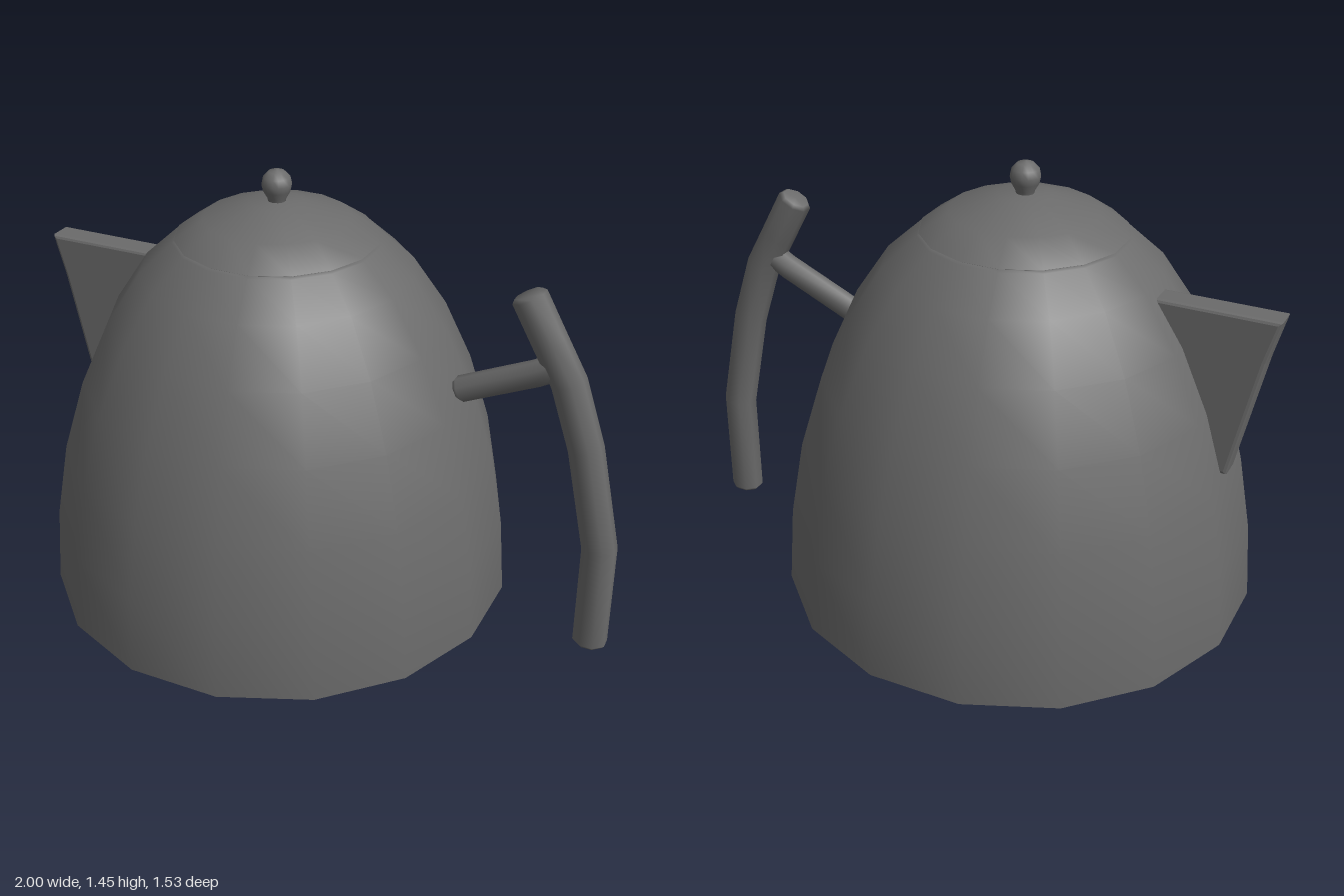
import * as THREE from 'three';

const BODY_X = -0.17;
const SIDES = 16;

// Faceted outline, smooth normals; flats face the four main axes
function turned(name, profile, material) {
  const pts = profile.map(([r, y]) => new THREE.Vector2(r, y));
  const mesh = new THREE.Mesh(new THREE.LatheGeometry(pts, SIDES, Math.PI / SIDES), material);
  mesh.name = name;
  mesh.position.x = BODY_X;
  return mesh;
}

// Eight-sided rod swept along points in the xy plane, mitred joints, chamfered ends
function rod(name, path, rx, rz, material) {
  const p = path.map(([x, y]) => new THREE.Vector2(x, y));
  const n = p.length, k = 8, bevel = 0.012;
  const dir = (i, j) => p[j].clone().sub(p[i]).normalize();
  const rings = [];
  p.forEach((pt, i) => {
    const a = dir(Math.max(i - 1, 0), Math.max(i, 1));
    const b = dir(Math.min(i, n - 2), Math.min(i + 1, n - 1));
    const t = a.clone().add(b).normalize();
    const scale = 1 / t.dot(a);
    const add = (shift, s) => rings.push({ c: pt.clone().addScaledVector(t, shift), t, s });
    if (i === 0) { add(0, 0); add(0, 0.8); add(bevel, 1); }
    else if (i === n - 1) { add(-bevel, 1); add(0, 0.8); add(0, 0); }
    else add(0, scale);
  });
  const pos = [], index = [];
  rings.forEach(({ c, t, s }, r) => {
    for (let j = 0; j < k; j++) {
      const a = ((j + 0.5) / k) * Math.PI * 2;
      const u = Math.cos(a) * rx * s, w = Math.sin(a) * rz * Math.min(s, 1);
      pos.push(c.x - t.y * u, c.y + t.x * u, w);
      if (r === 0) continue;
      const j2 = (j + 1) % k;
      const A = (r - 1) * k + j, B = (r - 1) * k + j2, C = r * k + j2, D = r * k + j;
      index.push(A, D, B, B, D, C);
    }
  });
  // Reverse the winding so that faces point outwards
  for (let i = 0; i < index.length; i += 3) [index[i + 1], index[i + 2]] = [index[i + 2], index[i + 1]];
  const g = new THREE.BufferGeometry();
  g.setAttribute('position', new THREE.Float32BufferAttribute(pos, 3));
  g.setIndex(index);
  g.computeVertexNormals();
  const mesh = new THREE.Mesh(g, material);
  mesh.name = name;
  return mesh;
}

export function createModel() {
  const group = new THREE.Group();
  group.name = 'kettle';
  const grey = new THREE.MeshStandardMaterial({ color: 0x6b6b6b });
  grey.name = 'dark grey';

  // Domed body with a closed base and a small groove under the lid
  group.add(turned('body', [
    [0, 0], [0.762, 0], [0.778, 0.01], [0.759, 0.27], [0.715, 0.52], [0.643, 0.755],
    [0.55, 0.96], [0.44, 1.125], [0.332, 1.223], [0.315, 1.227],
  ], grey));

  // Lid
  group.add(turned('lid', [
    [0.315, 1.225], [0.326, 1.231], [0.235, 1.293], [0.085, 1.343], [0, 1.348],
  ], grey));

  // Knob with a tapered neck
  group.add(turned('knob', [
    [0.026, 1.335], [0.03, 1.355], [0.043, 1.378], [0.048, 1.4], [0.043, 1.423],
    [0.026, 1.441], [0, 1.448],
  ], grey));

  // Flat triangular spout
  const shape = new THREE.Shape([
    [-1, 1.1], [-0.962, 0.96], [-0.875, 0.56], [-0.83, 0.56], [-0.6, 1.1],
  ].map(([x, y]) => new THREE.Vector2(x, y)));
  const bevel = 0.012;
  const spoutGeo = new THREE.ExtrudeGeometry(shape, {
    depth: 0.09 - 2 * bevel, bevelEnabled: true, bevelSegments: 2,
    bevelSize: bevel, bevelThickness: bevel, bevelOffset: -bevel,
  });
  spoutGeo.translate(0, 0, -(0.045 - bevel));
  const spout = new THREE.Mesh(spoutGeo, grey);
  spout.name = 'spout';
  group.add(spout);

  // Curved handle and the arm that joins it to the body
  const handle = new THREE.Group();
  handle.name = 'handle';
  handle.add(rod('grip', [
    [0.945, 0], [0.945, 0.37], [0.872, 0.715], [0.802, 0.925], [0.735, 1.045], [0.655, 1.19],
  ], 0.057, 0.05, grey));
  handle.add(rod('arm', [[0.45, 0.822], [0.7, 0.935], [0.77, 0.975]], 0.043, 0.038, grey));
  group.add(handle);

  return group;
}
